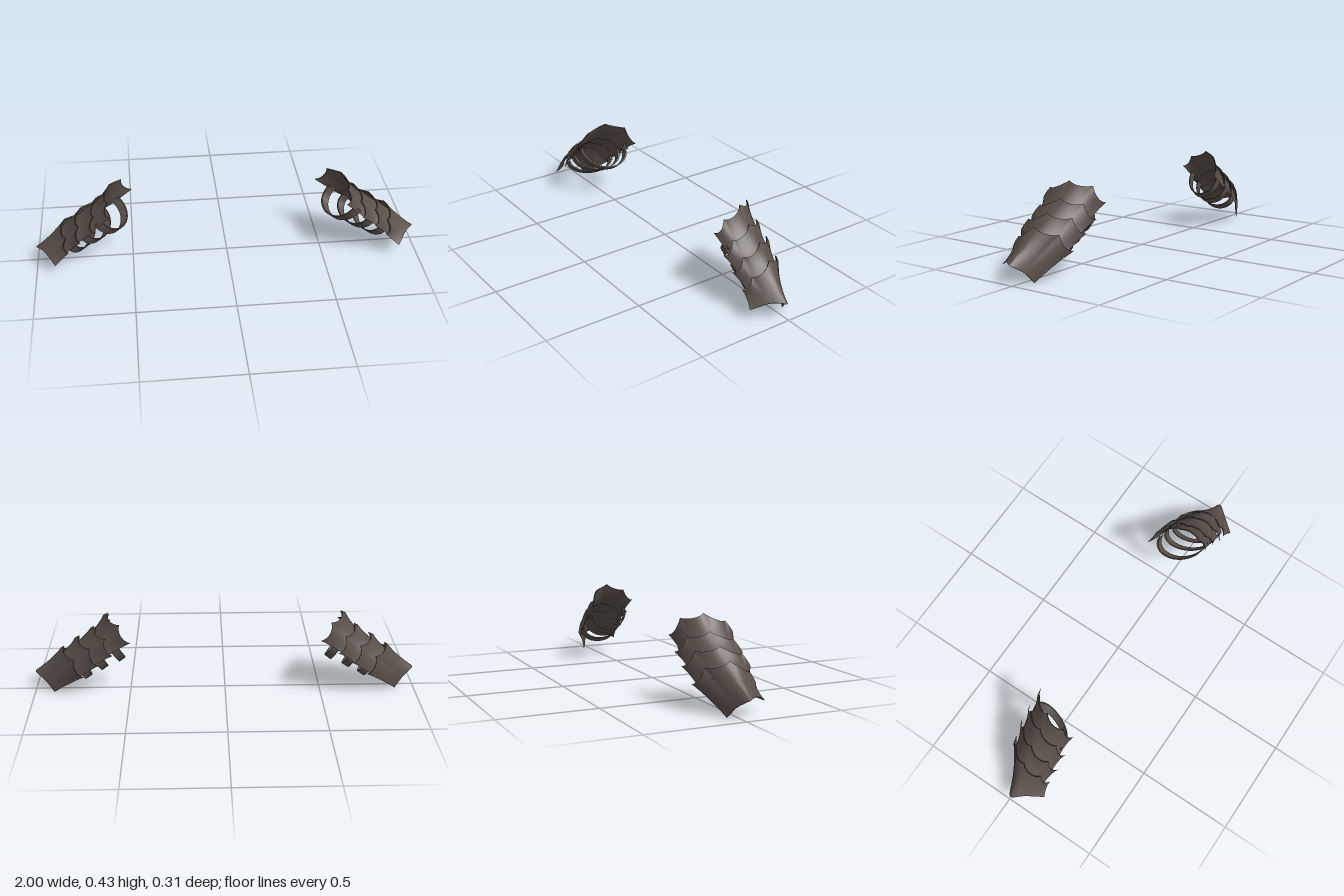
import * as THREE from 'three';
import { toCreasedNormals } from 'three/addons/utils/BufferGeometryUtils.js';

const V = (x, y, z) => new THREE.Vector3(x, y, z);
const along = V(0.8, -0.6, 0);   // down the forearm
const outward = V(0.6, 0.8, 0);  // away from the forearm, toward the ridge

// Five points of each plate's scalloped upper edge, front spike to back spike
const edges = [
  [V(0.605, 0.33, 0.145), V(0.615, 0.39, 0.095), V(0.6, 0.43, -0.013), V(0.54, 0.405, -0.105), V(0.485, 0.32, -0.14)],
  [V(0.69, 0.25, 0.15), V(0.69, 0.315, 0.098), V(0.67, 0.355, -0.013), V(0.615, 0.33, -0.108), V(0.575, 0.255, -0.152)],
  [V(0.76, 0.195, 0.154), V(0.77, 0.26, 0.1), V(0.757, 0.3, -0.01), V(0.695, 0.275, -0.105), V(0.65, 0.2, -0.152)],
  [V(0.825, 0.13, 0.142), V(0.84, 0.19, 0.1), V(0.84, 0.245, 0), V(0.78, 0.21, -0.097), V(0.73, 0.13, -0.14)],
];
// Pointed wrist edge of the last plate
const wrist = [V(0.9, 0.06, 0.152), V(0.955, 0.098, 0.075), V(1, 0.095, 0.015), V(0.945, 0.055, -0.025), V(0.9, 0, -0.046)];

const middle = (e) => e[0].clone().add(e[4]).multiplyScalar(0.5);

// Lower edge of a plate, tucked under the next one
const tuck = (next) => next.map((p) => middle(next).lerp(p, 0.82).addScaledVector(along, 0.05));

// Grid of points f(i, j) joined into a surface; side = -1 mirrors it in x
function surface(rows, cols, side, f) {
  const pos = [], index = [];
  for (let i = 0; i <= rows; i++) {
    for (let j = 0; j <= cols; j++) {
      const p = f(i, j);
      pos.push(p.x * side, p.y, p.z);
      if (i === rows || j === cols) continue;
      const a = i * (cols + 1) + j, b = a + 1, c = a + cols + 1, d = c + 1;
      if (side > 0) index.push(a, b, c, b, d, c);
      else index.push(a, c, b, b, c, d);
    }
  }
  const geo = new THREE.BufferGeometry();
  geo.setAttribute('position', new THREE.Float32BufferAttribute(pos, 3));
  geo.setIndex(index);
  return toCreasedNormals(geo, 0.6);
}

// Curved plate: outer skin, rim and inner skin in one loop along its length
function plateGeometry(top, bottom, side) {
  const upper = new THREE.CatmullRomCurve3(top, false, 'catmullrom', 0.4);
  const lower = new THREE.CatmullRomCurve3(bottom, false, 'catmullrom', 0.4);
  const c0 = middle(top), c1 = middle(bottom);
  const cols = 32, n = 8;
  return surface(cols, 2 * n + 2, side, (i, j) => {
    const u = i / cols, t = (u * 4) % 1;
    const inner = j > n && j < 2 * n + 2;
    const v = j <= n ? j / n : inner ? (2 * n + 1 - j) / n : 0;
    const a = upper.getPoint(u).addScaledVector(along, 0.1 * t * (1 - t));
    const p = a.lerp(lower.getPoint(u), v);
    const c = c0.clone().lerp(c1, v);
    p.lerp(c, 0.24 * v * (1 - v));
    if (inner) {
      const thick = 0.006 * Math.min(1, u * 8, (1 - u) * 8);
      p.addScaledVector(c.sub(p).normalize(), thick);
    }
    return p;
  });
}

// Flat band hanging under a plate from its front side to its back side
function strapGeometry(top, bottom, drop, side) {
  const front = top[0].clone().lerp(bottom[0], 0.55);
  const back = top[4].clone().lerp(bottom[4], 0.55);
  const c = front.clone().add(back).multiplyScalar(0.5);
  const reach = front.clone().sub(c).multiplyScalar(0.88);
  const section = [[0.021, 1], [-0.021, 1], [-0.021, 0.94], [0.021, 0.94], [0.021, 1]];
  return surface(28, 4, side, (i, j) => {
    const angle = -0.15 + (i / 28) * (Math.PI + 0.3);
    const [w, r] = section[j];
    return c.clone()
      .addScaledVector(reach, r * Math.cos(angle))
      .addScaledVector(outward, -drop * r * Math.sin(angle))
      .addScaledVector(along, w);
  });
}

export function createModel() {
  const model = new THREE.Group();
  model.name = 'armGuards';
  const metal = new THREE.MeshStandardMaterial({ color: 0x5a4f49 });
  metal.name = 'darkBrownMetal';

  for (const side of [1, -1]) {
    const guard = new THREE.Group();
    guard.name = side > 0 ? 'leftArmGuard' : 'rightArmGuard';
    const add = (geo, name) => {
      const mesh = new THREE.Mesh(geo, metal);
      mesh.name = name;
      guard.add(mesh);
    };
    edges.forEach((top, k) => {
      const last = k === edges.length - 1;
      const bottom = last ? wrist : tuck(edges[k + 1]);
      add(plateGeometry(top, bottom, side), last ? 'wristPlate' : 'armPlate' + (k + 1));
      if (!last) add(strapGeometry(top, bottom, [0.112, 0.09, 0.07][k], side), 'strap' + (k + 1));
    });
    model.add(guard);
  }
  return model;
}
